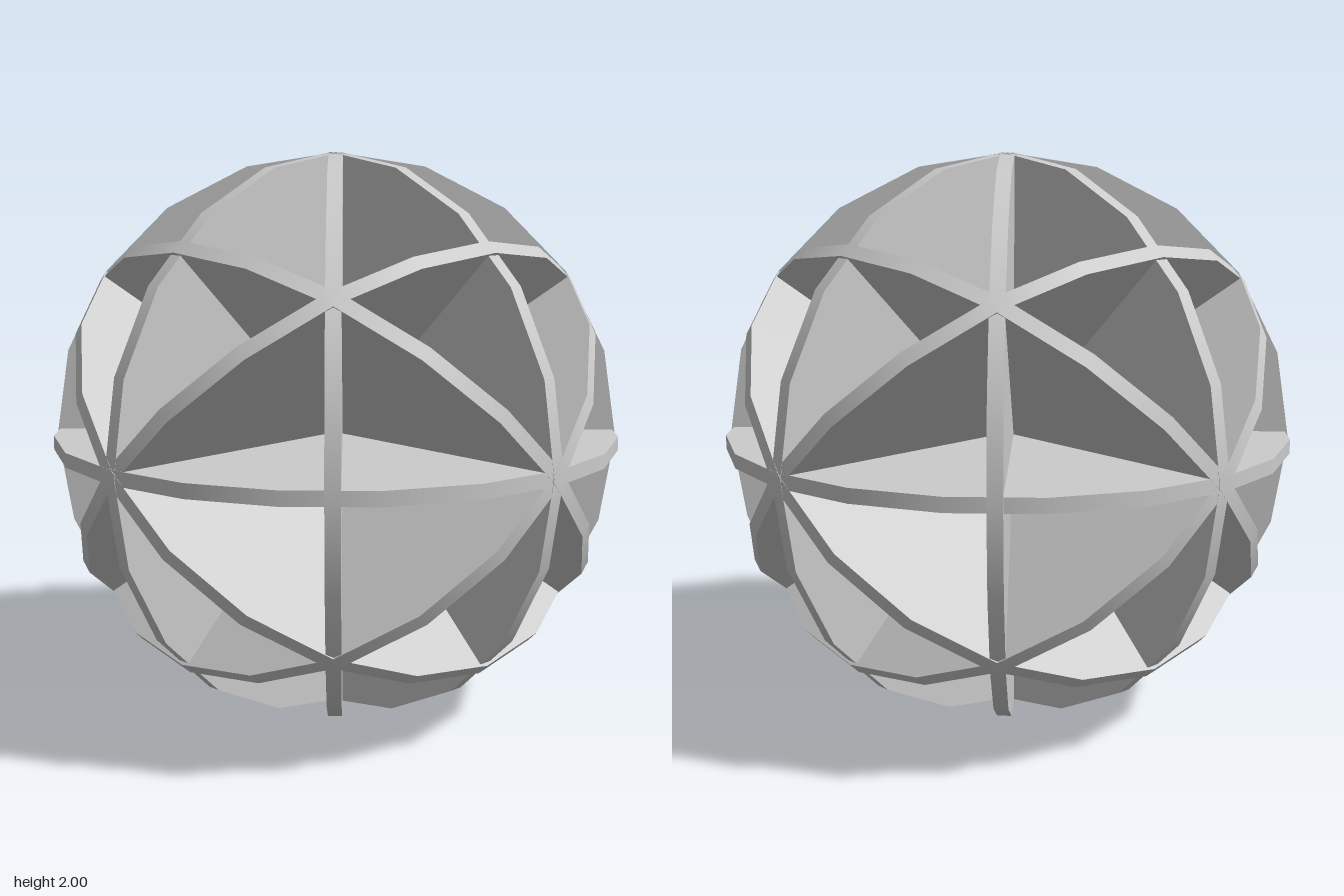
import * as THREE from 'three';

export function createModel() {
  const group = new THREE.Group();
  group.name = 'interlockedDiscSphere';
  const material = new THREE.MeshStandardMaterial({ color: 0xcccccc });
  // One thin 20-sided disc, shared by all mirror planes of a cube
  const disc = new THREE.CylinderGeometry(1, 1, 0.05, 20);
  const q = Math.PI / 4;

  const addDisc = (name, x, y, z) => {
    const mesh = new THREE.Mesh(disc, material);
    mesh.name = name;
    mesh.rotation.set(x, y, z);
    mesh.position.y = 1;
    group.add(mesh);
  };

  // Three discs square to the axes
  addDisc('horizontalDisc', 0, 0, 0);
  addDisc('frontDisc', 2 * q, 0, 0);
  addDisc('sideDisc', 0, 0, 2 * q);

  // Six diagonal discs, two around each axis
  for (const [label, s] of [['A', 1], ['B', -1]]) {
    addDisc('diagonalDiscAroundX' + label, s * q, 0, 0);
    addDisc('diagonalDiscAroundY' + label, 0, s * q, 2 * q);
    addDisc('diagonalDiscAroundZ' + label, 0, 0, s * q);
  }
  return group;
}
